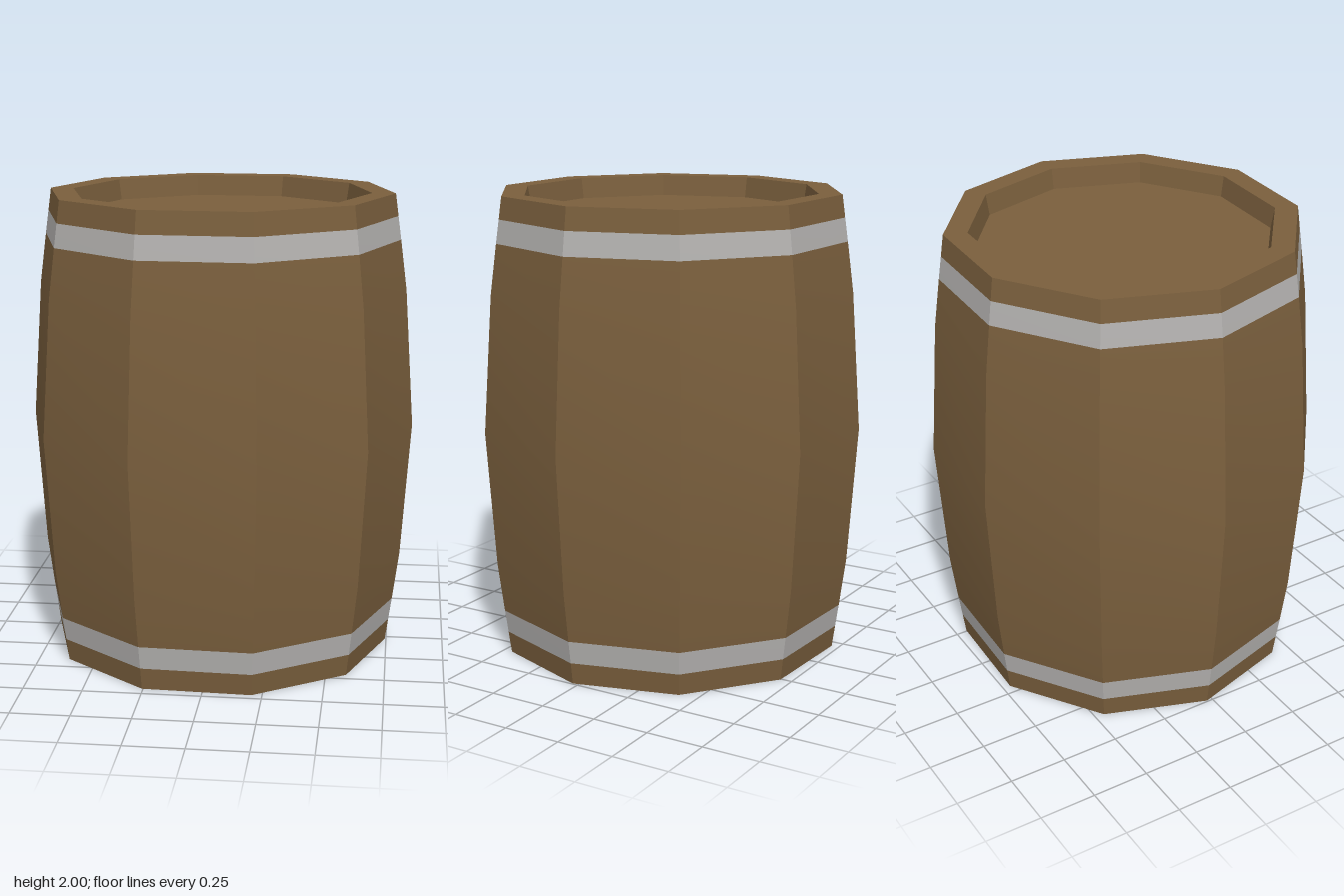
import * as THREE from 'three';
import { toCreasedNormals } from 'three/addons/utils/BufferGeometryUtils.js';

const SIDES = 10;

// Half profile from the middle of the bottom to the middle of the lid: [radius, height]
const lower = [
  [0, 0.09], [0.63, 0.09], [0.645, 0], // recessed end
  [0.745, 0], [0.758, 0.095], [0.772, 0.195], // rim and hoop edges
  [0.8, 0.41],
];
const upper = lower.map(([r, y]) => [r, 2 - y]).reverse();
const profile = [...lower, [0.84, 1], ...upper];

// Profile strips that are metal hoops, counted from the bottom
const hoopStrips = [4, profile.length - 6];

export function createModel() {
  const wood = new THREE.MeshStandardMaterial({ color: 0x7a5f3d });
  wood.name = 'wood';
  const metal = new THREE.MeshStandardMaterial({ color: 0xb4b2b0 });
  metal.name = 'hoopMetal';

  // Ten-sided barrel, sharp between staves and smooth along them
  const points = profile.map(([r, y]) => new THREE.Vector2(r, y));
  const lathe = new THREE.LatheGeometry(points, SIDES, THREE.MathUtils.degToRad(16));
  const geometry = toCreasedNormals(lathe, 0.4);

  // Flush hoops: give their strips the metal material on every side
  geometry.clearGroups();
  const strips = profile.length - 1;
  for (let side = 0; side < SIDES; side++) {
    for (let strip = 0; strip < strips; strip++) {
      const start = (side * strips + strip) * 6;
      geometry.addGroup(start, 6, hoopStrips.includes(strip) ? 1 : 0);
    }
  }

  const barrel = new THREE.Mesh(geometry, [wood, metal]);
  barrel.name = 'barrelWithHoops';

  const model = new THREE.Group();
  model.name = 'barrel';
  model.add(barrel);
  return model;
}
